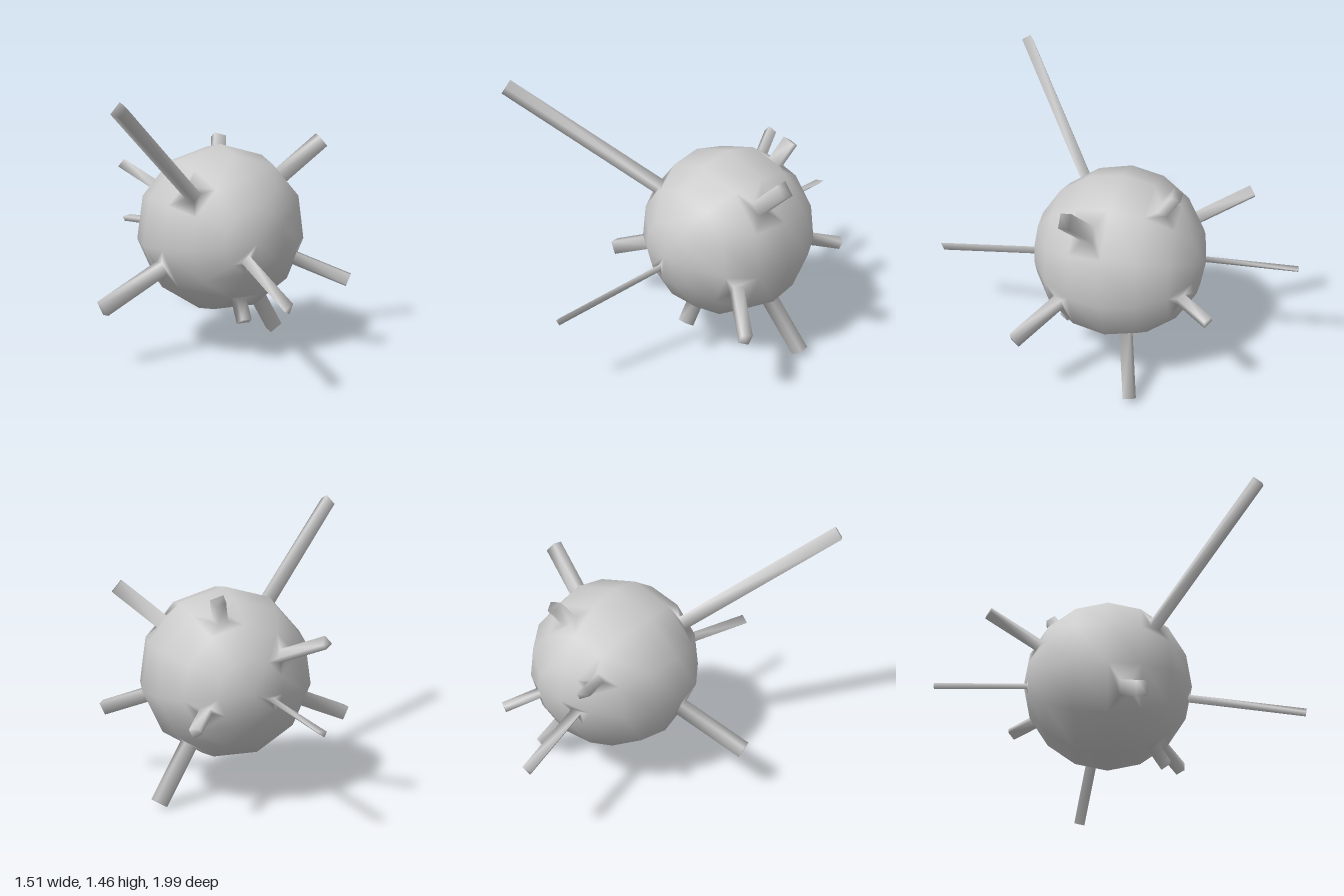
import * as THREE from 'three';

const SIDES = 11, BANDS = 8, R = 0.458, INSET = 0.31;
const CENTRE = new THREE.Vector3(0.155, 0.664, -0.068);

// Spikes: [band from the front pole, side, distance of the tip from the centre]
const SPIKES = [
  [2, 9, 1.39], [3, 1, 0.73], [5, 0, 0.575], [3, 7, 0.84], [2, 3, 0.75], [4, 4, 0.775],
  [2, 5, 0.55], [0, 6, 1.08], [7, 7, 0.945], [6, 9, 0.765], [6, 3, 0.645],
];

export function createModel() {
  const points = [], bodyIndex = [], spikeIndices = [];
  const add = (v) => points.push(v) - 1;

  // Ball points: both poles, then rings around the z axis
  add(new THREE.Vector3(0, 0, R));
  add(new THREE.Vector3(0, 0, -R));
  for (let i = 1; i < BANDS; i++) {
    const phi = (i * Math.PI) / BANDS;
    for (let k = 0; k < SIDES; k++) {
      const a = (k * 2 * Math.PI) / SIDES;
      add(new THREE.Vector3(Math.sin(phi) * Math.sin(a), Math.sin(phi) * Math.cos(a), Math.cos(phi)).multiplyScalar(R));
    }
  }
  const id = (i, k) => (i === 0 ? 0 : i === BANDS ? 1 : 2 + (i - 1) * SIDES + (k % SIDES));

  const fan = (out, ring) => {
    for (let j = 1; j < ring.length - 1; j++) out.push(ring[0], ring[j], ring[j + 1]);
  };
  const bridge = (out, a, b) => a.forEach((p, j) => {
    const n = (j + 1) % a.length;
    out.push(p, a[n], b[n], p, b[n], b[j]);
  });

  // Ball faces, some inset and drawn out into spikes
  for (let i = 0; i < BANDS; i++) {
    for (let k = 0; k < SIDES; k++) {
      const face = [...new Set([id(i, k), id(i, k + 1), id(i + 1, k + 1), id(i + 1, k)])];
      const spike = SPIKES.find((s) => s[0] === i && s[1] === k);
      if (!spike) {
        fan(bodyIndex, face);
        continue;
      }
      const mid = new THREE.Vector3();
      face.forEach((p) => mid.addScaledVector(points[p], 1 / face.length));
      const [p, q, r] = face.map((f) => points[f]);
      const normal = q.clone().sub(p).cross(r.clone().sub(p)).normalize();
      const base = face.map((f) => add(mid.clone().lerp(points[f], INSET)));
      const tip = base.map((b) => add(points[b].clone().addScaledVector(normal, spike[2] - mid.length())));
      bridge(bodyIndex, face, base);
      const index = [];
      bridge(index, base, tip);
      fan(index, tip);
      spikeIndices.push(index);
    }
  }

  // Shared smooth normals blend each spike into the ball
  const whole = new THREE.BufferGeometry().setFromPoints(points);
  whole.setIndex([...bodyIndex, ...spikeIndices.flat()]);
  whole.computeVertexNormals();

  const material = new THREE.MeshStandardMaterial({ color: 0xcccccc });
  const group = new THREE.Group();
  group.name = 'spikedBall';
  const addPart = (name, index) => {
    const geometry = new THREE.BufferGeometry();
    geometry.setAttribute('position', whole.getAttribute('position'));
    geometry.setAttribute('normal', whole.getAttribute('normal'));
    geometry.setIndex(index);
    const mesh = new THREE.Mesh(geometry, material);
    mesh.name = name;
    mesh.position.copy(CENTRE);
    group.add(mesh);
  };
  addPart('ball', bodyIndex);
  spikeIndices.forEach((index, n) => addPart(`spike${n + 1}`, index));
  return group;
}
